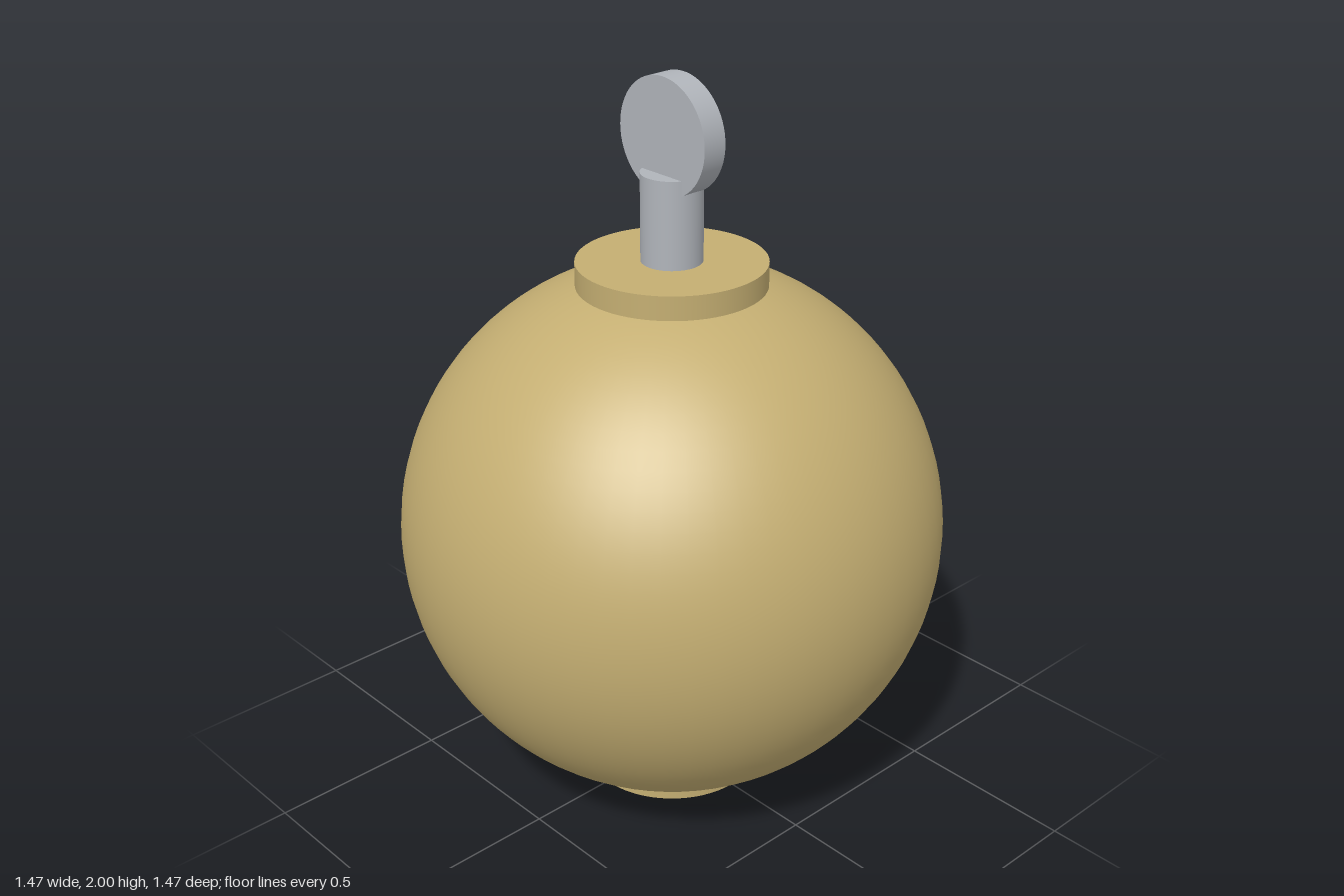
import * as THREE from 'three';

export function createModel() {
  const model = new THREE.Group();
  const brass = new THREE.MeshStandardMaterial({ color: 0xc4ae72 });
  brass.name = 'brass';
  const steel = new THREE.MeshStandardMaterial({ color: 0xb0b4ba });
  steel.name = 'steel';

  const add = (name, geometry, material, y) => {
    const mesh = new THREE.Mesh(geometry, material);
    mesh.name = name;
    mesh.position.y = y;
    model.add(mesh);
    return mesh;
  };
  // Upright cylinder spanning two heights
  const post = (name, radius, y0, y1, material) =>
    add(name, new THREE.CylinderGeometry(radius, radius, y1 - y0, 64), material, (y0 + y1) / 2);

  // Round body between two flat collars
  add('body', new THREE.SphereGeometry(0.735, 64, 48), brass, 0.757);
  post('baseCollar', 0.25, 0, 0.065, brass);
  post('topCollar', 0.25, 1.45, 1.515, brass);

  // Stem with an upright disc set into its top
  post('stem', 0.081, 1.515, 1.75, steel);
  const disc = new THREE.CylinderGeometry(0.154, 0.154, 0.07, 64).rotateX(Math.PI / 2);
  add('handleDisc', disc, steel, 1.846);

  return model;
}
